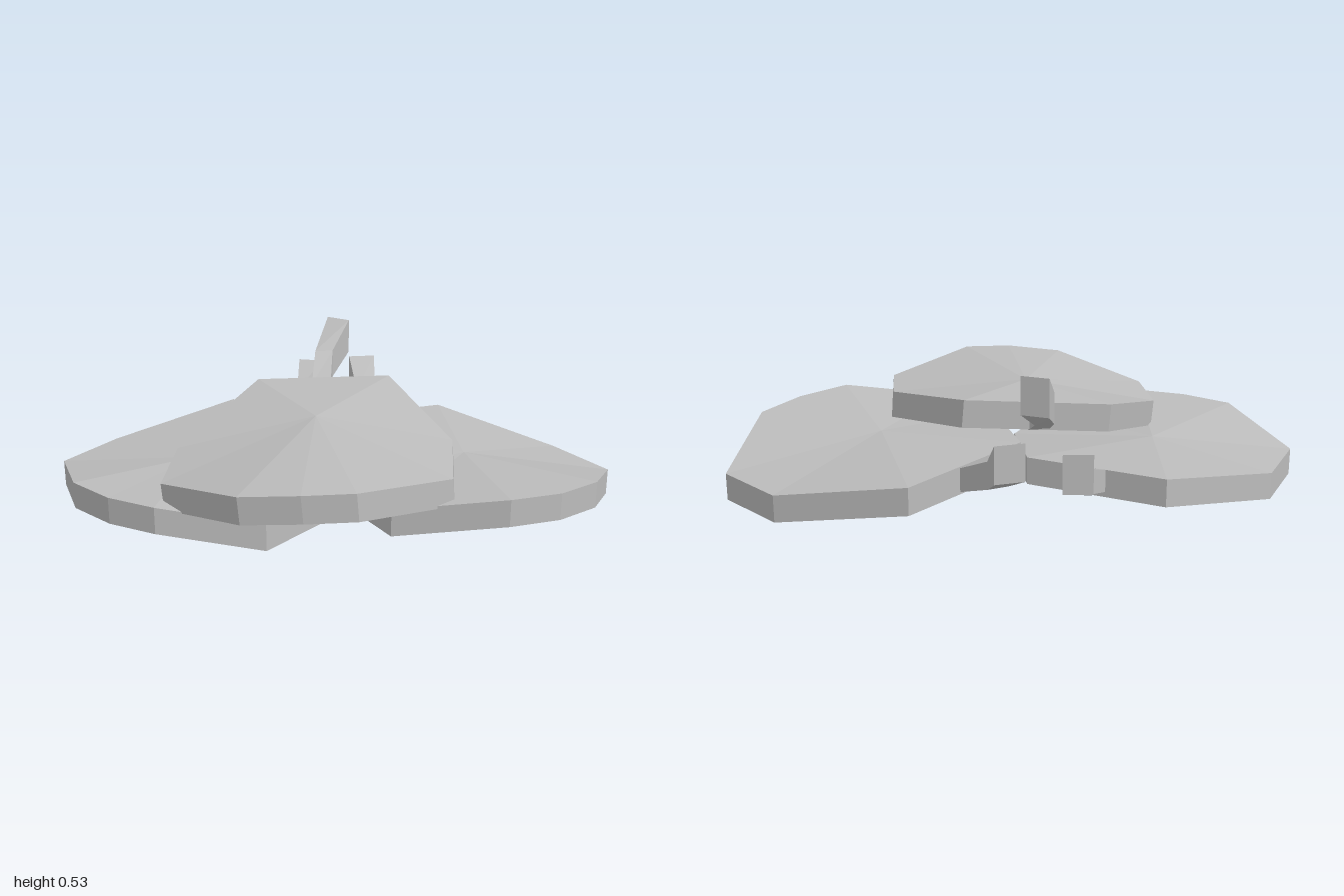
import * as THREE from 'three';

// Closed solid through rings of points, counter-clockwise seen from the last ring.
function loft(rings, startCentre, endCentre) {
  const pos = [];
  const tri = (...p) => p.forEach((v) => pos.push(...v));
  const mean = (r) => [0, 1, 2].map((k) => r.reduce((s, p) => s + p[k], 0) / r.length);
  const n = rings[0].length;
  const first = rings[0];
  const last = rings[rings.length - 1];
  const c0 = startCentre || mean(first);
  const c1 = endCentre || mean(last);
  for (let i = 0; i < n; i++) {
    const j = (i + 1) % n;
    for (let k = 0; k + 1 < rings.length; k++) {
      const a = rings[k];
      const b = rings[k + 1];
      tri(a[i], a[j], b[j]);
      tri(a[i], b[j], b[i]);
    }
    tri(c0, first[j], first[i]);
    tri(c1, last[i], last[j]);
  }
  const g = new THREE.BufferGeometry();
  g.setAttribute('position', new THREE.Float32BufferAttribute(pos, 3));
  g.computeVertexNormals();
  return g;
}

const THICK = 0.095;

// Leaf slab: outline [x, topY, z] clockwise from above, folded around a centre point.
function leafGeometry(outline, centre, shift = 0) {
  const top = [...outline].reverse();
  const lower = ([x, y, z]) => [x + shift, Math.max(0, y - THICK), z];
  return loft([top.map(lower), top], lower(centre), centre);
}

// Stem: stations [leftX, leftZ, rightX, rightZ, topY, bottomY] from leaf to tip.
function stemGeometry(stations) {
  return loft(stations.map(([lx, lz, rx, rz, t, b]) => [
    [lx, t, lz], [rx, t, rz], [rx, b, rz], [lx, b, lz],
  ]));
}

const LEAVES = [
  {
    name: 'middleLeaf',
    centre: [-0.05, 0.352, 0.06],
    shift: 0.008,
    outline: [
      [-0.30, 0.36, -0.295], [0.19, 0.388, -0.295], [0.425, 0.30, 0.12],
      [0.425, 0.28, 0.41], [0.13, 0.325, 0.65], [-0.04, 0.32, 0.67],
      [-0.24, 0.30, 0.65], [-0.53, 0.23, 0.41], [-0.53, 0.24, 0.12],
    ],
    stem: [
      [-0.095, -0.27, -0.025, -0.27, 0.355, 0.27],
      [-0.095, -0.41, -0.03, -0.42, 0.44, 0.335],
      [-0.06, -0.565, 0.025, -0.525, 0.532, 0.405],
    ],
  },
  {
    name: 'leftLeaf',
    centre: [0.47, 0.20, -0.02],
    outline: [
      [0.0, 0.228, -0.27], [0.38, 0.185, -0.55], [0.82, 0.10, -0.36],
      [1.0, 0.10, -0.14], [0.91, 0.205, 0.22], [0.78, 0.22, 0.36],
      [0.61, 0.233, 0.455], [0.23, 0.185, 0.455], [0.06, 0.185, 0.22],
    ],
    stem: [
      [0.17, -0.36, 0.225, -0.41, 0.19, 0.11],
      [0.06, -0.50, 0.13, -0.525, 0.255, 0.16],
      [0.02, -0.635, 0.118, -0.655, 0.35, 0.225],
    ],
  },
  {
    name: 'rightLeaf',
    centre: [-0.5, 0.15, -0.02],
    outline: [
      [-0.44, 0.185, -0.55], [-0.02, 0.18, -0.29], [-0.02, 0.10, 0.20],
      [-0.18, 0.105, 0.435], [-0.54, 0.175, 0.48], [-0.71, 0.173, 0.41],
      [-0.86, 0.17, 0.29], [-1.0, 0.10, -0.06], [-0.86, 0.10, -0.30],
    ],
    stem: [
      [-0.275, -0.42, -0.20, -0.375, 0.175, 0.10],
      [-0.182, -0.55, -0.115, -0.525, 0.23, 0.14],
      [-0.185, -0.675, -0.09, -0.665, 0.32, 0.19],
    ],
  },
];

export function createModel() {
  const model = new THREE.Group();
  model.name = 'leafPile';
  const grey = new THREE.MeshStandardMaterial({ color: 0xbcbcbc });
  grey.name = 'grey';

  // Three overlapping leaves, each with a bent stem at the back
  for (const { name, outline, centre, shift, stem } of LEAVES) {
    const group = new THREE.Group();
    group.name = name;
    const blade = new THREE.Mesh(leafGeometry(outline, centre, shift), grey);
    blade.name = 'blade';
    const stalk = new THREE.Mesh(stemGeometry(stem), grey);
    stalk.name = 'stem';
    group.add(blade, stalk);
    model.add(group);
  }
  return model;
}
